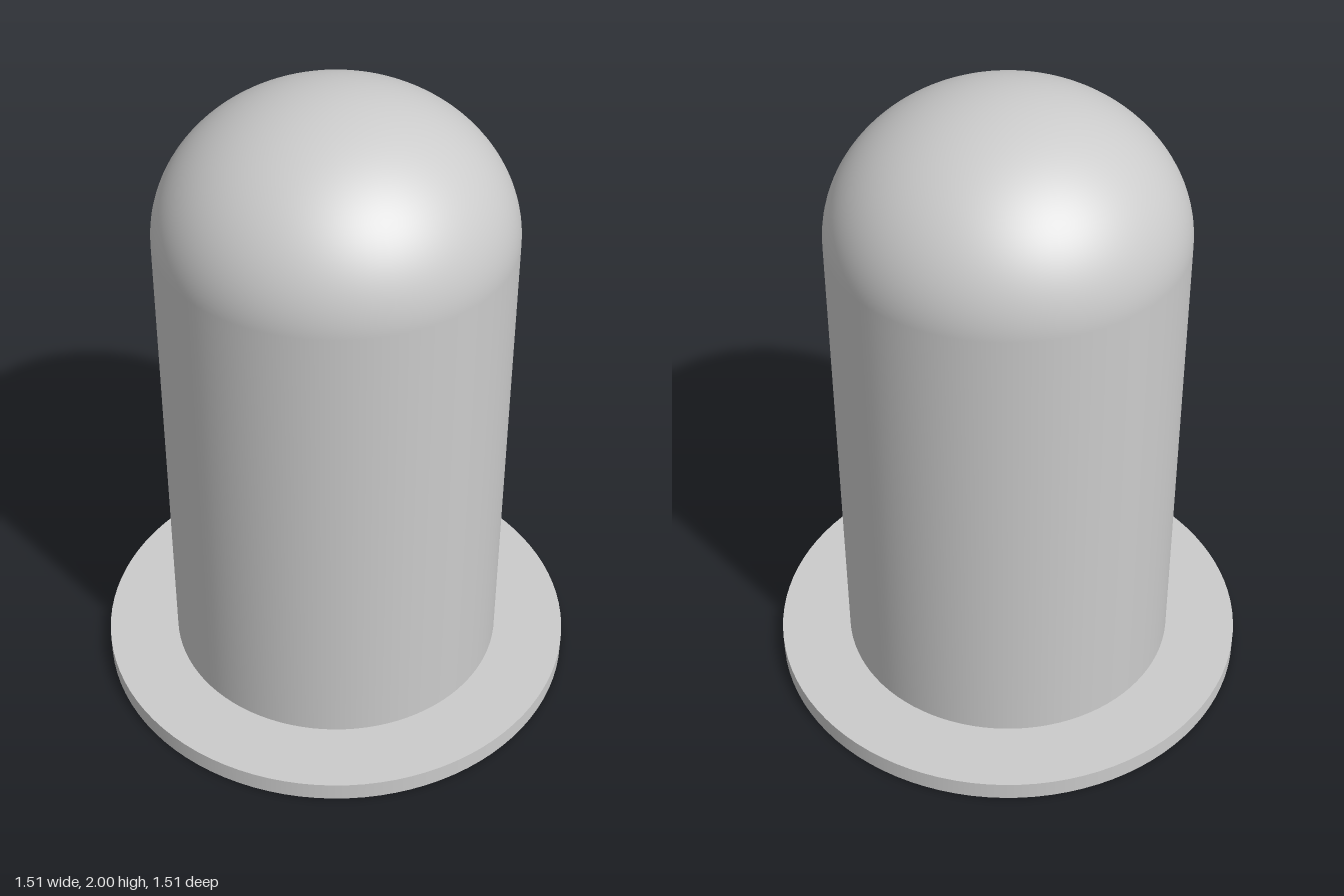
import * as THREE from 'three';

export function createModel() {
  const model = new THREE.Group();
  const material = new THREE.MeshStandardMaterial({ color: 0xcccccc });
  const segments = 96;
  const bodyRadius = 0.53, flangeRadius = 0.755, flangeHeight = 0.06;
  const shoulderY = 1.56, topY = 2;

  const add = (name, geometry, y) => {
    const mesh = new THREE.Mesh(geometry, material);
    mesh.name = name;
    mesh.position.y = y;
    model.add(mesh);
  };

  // Flat round base flange
  add('baseFlange', new THREE.CylinderGeometry(flangeRadius, flangeRadius, flangeHeight, segments), flangeHeight / 2);

  // Straight body wall
  const wallHeight = shoulderY - flangeHeight;
  add('body', new THREE.CylinderGeometry(bodyRadius, bodyRadius, wallHeight, segments, 1, true), flangeHeight + wallHeight / 2);

  // Slightly flattened dome, tangent to the wall
  const dome = new THREE.SphereGeometry(bodyRadius, segments, 32, 0, Math.PI * 2, 0, Math.PI / 2);
  dome.scale(1, (topY - shoulderY) / bodyRadius, 1);
  add('dome', dome, shoulderY);

  return model;
}
